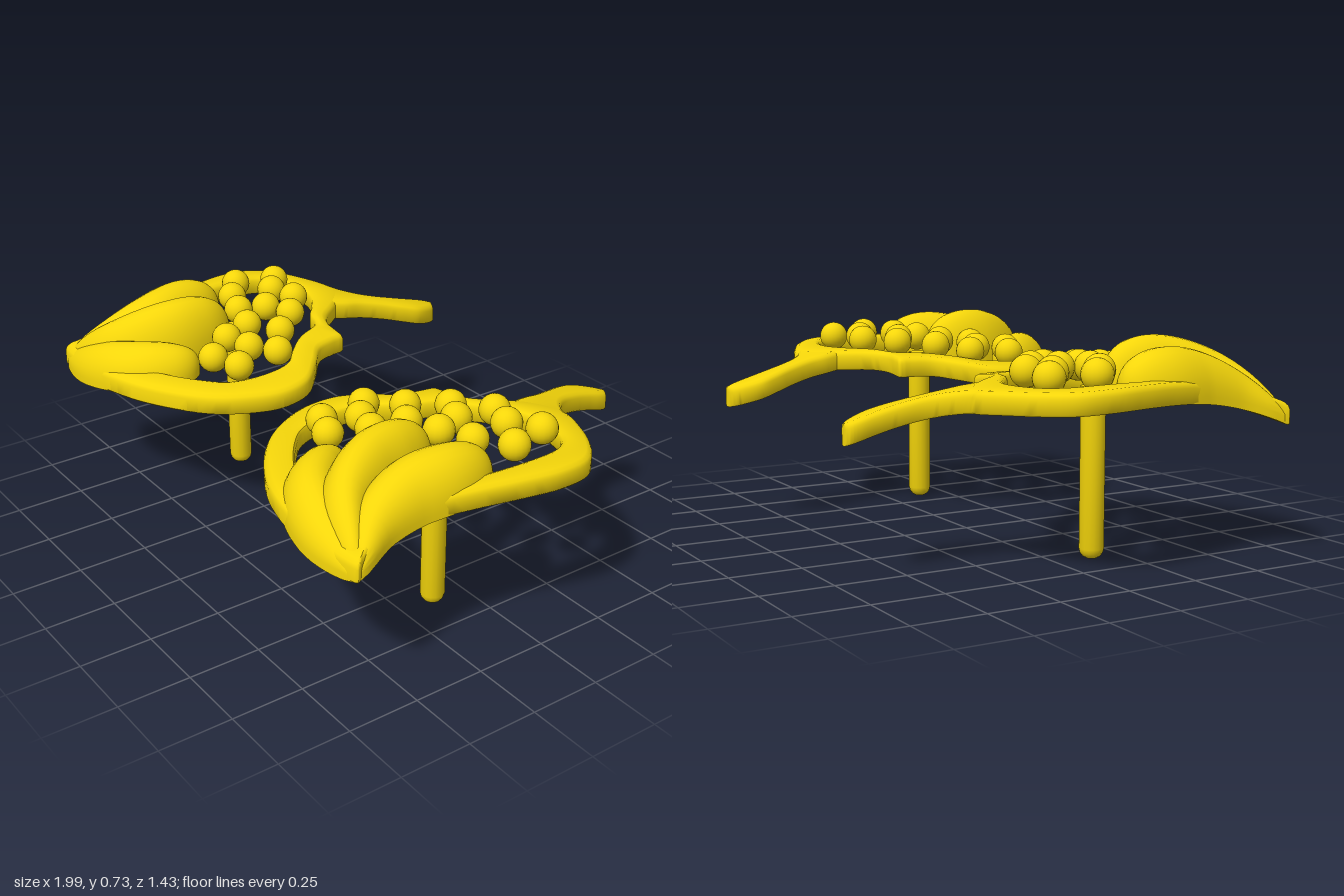
import * as THREE from 'three';
import { toCreasedNormals } from 'three/addons/utils/BufferGeometryUtils.js';

const material = new THREE.MeshStandardMaterial({ color: 0xf5d60a });
const HALF = 0.035;

// Gentle dome that every part follows, dipping at the front corner: height of the mid-surface at (x, z)
function dome(x, z) {
  const dip = 0.8 * Math.max(0, z - 0.35) ** 2 * Math.max(0, x - 0.5);
  return 0.595 - (z > 0 ? 0.15 : 0.23) * z * z - 0.128 * (x - 0.75) ** 2 - dip;
}

function add(group, geometry, name) {
  const mesh = new THREE.Mesh(geometry, material);
  mesh.name = name;
  group.add(mesh);
  return mesh;
}

const spline = (list, closed = false) =>
  new THREE.CatmullRomCurve3(list.map(([x, z]) => new THREE.Vector3(x, 0, z)), closed);

// Skin over closed cross-sections; each section point is [x, z, height above the dome]
function loft(sections, crease) {
  const ring = sections[0].length;
  const positions = sections.flat().flatMap(([x, z, lift]) => [x, dome(x, z) + lift, z]);
  const indices = [];
  for (let i = 0; i < sections.length - 1; i++) {
    for (let j = 0; j < ring; j++) {
      const k = (j + 1) % ring;
      const a = i * ring + j, b = a + ring, e = i * ring + k, f = e + ring;
      indices.push(a, b, e, b, f, e);
    }
  }
  const geometry = new THREE.BufferGeometry();
  geometry.setAttribute('position', new THREE.Float32BufferAttribute(positions, 3));
  geometry.setIndex(indices);
  return toCreasedNormals(geometry, crease);
}

// Flat strip with softened edges between an outer and an inner outline
function bandGeometry(pairs, closed) {
  const outer = spline(pairs.map((p) => [p[0], p[1]]), closed);
  const inner = spline(pairs.map((p) => [p[2], p[3]]), closed);
  const rows = pairs.length * 5, sections = [];
  for (let i = 0; i <= rows; i++) {
    const a = inner.getPoint(i / rows), b = outer.getPoint(i / rows);
    const width = a.distanceTo(b);
    const bevel = width > 0 ? Math.min(0.02, width / 3) / width : 0;
    const edge = bevel * 0.3;
    const profile = [[edge, -HALF], [0, 0.007 - HALF], [0, HALF - 0.018], [edge, HALF - 0.006], [bevel, HALF],
      [1 - bevel, HALF], [1 - edge, HALF - 0.006], [1, HALF - 0.018], [1, 0.007 - HALF], [1 - edge, -HALF]];
    sections.push(profile.map(([s, lift]) => [a.x + (b.x - a.x) * s, a.z + (b.z - a.z) * s, lift]));
  }
  return loft(sections, 0.8);
}

// Teardrop petal: domed cross-sections along a curve, flat underneath
function petalGeometry(path, width, height) {
  const curve = spline(path);
  const rows = 30, arc = 14, sections = [];
  const bump = (t, a, b) => {
    const top = a / (a + b);
    return (t / top) ** a * ((1 - t) / (1 - top)) ** b;
  };
  for (let i = 0; i <= rows; i++) {
    const t = (i / rows) ** 1.6;
    const c = curve.getPointAt(t), d = curve.getTangentAt(t);
    const w = width * bump(t, 0.45, 0.75), h = height * bump(t, 0.4, 0.75);
    const at = (side, lift) => [c.x - d.z * side * w, c.z + d.x * side * w, lift];
    const section = [];
    for (let j = 0; j <= arc; j++) {
      const a = (j / arc) * Math.PI;
      section.push(at(Math.cos(a), -0.01 + Math.sin(a) * h));
    }
    section.push(at(-1, -HALF), at(1, -HALF));
    sections.push(section);
  }
  return loft(sections, 0.8);
}

// Outline pairs: outer x, z, inner x, z
const RING = [
  [0.935, 0.672, 0.86, 0.60], [0.90, 0.685, 0.83, 0.605], [0.72, 0.70, 0.72, 0.605], [0.51, 0.68, 0.54, 0.59],
  [0.35, 0.615, 0.40, 0.53], [0.19, 0.50, 0.28, 0.445], [0.11, 0.39, 0.225, 0.385], [0.065, 0.27, 0.195, 0.27],
  [0.08, 0.16, 0.21, 0.16], [0.16, 0.07, 0.27, 0.10], [0.235, 0, 0.325, 0.04], [0.26, -0.08, 0.35, 0],
  [0.27, -0.125, 0.37, -0.045], [0.30, -0.127, 0.39, -0.08], [0.36, -0.13, 0.42, -0.10], [0.43, -0.165, 0.47, -0.115],
  [0.495, -0.24, 0.53, -0.16], [0.56, -0.31, 0.59, -0.20], [0.66, -0.36, 0.67, -0.225], [0.80, -0.315, 0.77, -0.215],
  [0.91, -0.25, 0.83, -0.19], [0.98, -0.17, 0.87, -0.14], [0.997, -0.05, 0.885, -0.06], [0.975, 0.08, 0.88, 0.08],
  [0.93, 0.24, 0.85, 0.25], [0.885, 0.40, 0.81, 0.40], [0.885, 0.53, 0.81, 0.51], [0.922, 0.645, 0.85, 0.585],
];
const STEM = [
  [0.52, -0.25, 0.74, -0.33], [0.503, -0.31, 0.645, -0.37], [0.495, -0.37, 0.59, -0.42], [0.467, -0.46, 0.56, -0.47],
  [0.435, -0.54, 0.54, -0.55], [0.42, -0.60, 0.533, -0.61], [0.435, -0.66, 0.53, -0.67],
  [0.455, -0.695, 0.523, -0.697], [0.475, -0.708, 0.51, -0.709], [0.495, -0.712, 0.495, -0.712],
];

function createEarring(name) {
  const earring = new THREE.Group();
  earring.name = name;
  add(earring, bandGeometry(RING, true), 'frame');
  add(earring, bandGeometry(STEM, false), 'stem');

  // Three curved petals meeting at the front corner
  const petals = [
    ['outerPetal', [[0.81, 0.09], [0.805, 0.25], [0.79, 0.40], [0.825, 0.54], [0.93, 0.67]], 0.108, 0.145],
    ['middlePetal', [[0.605, 0.165], [0.605, 0.30], [0.625, 0.42], [0.71, 0.56], [0.925, 0.67]], 0.1, 0.175],
    ['innerPetal', [[0.44, 0.385], [0.47, 0.48], [0.55, 0.575], [0.70, 0.64], [0.92, 0.675]], 0.09, 0.11],
  ];
  for (const [label, path, w, h] of petals) add(earring, petalGeometry(path, w, h), label);

  // Beads scattered in the opening
  const bead = new THREE.SphereGeometry(0.053, 20, 14);
  const spots = [[0.78, -0.155], [0.59, -0.12], [0.69, -0.085], [0.475, -0.03], [0.82, -0.005],
    [0.565, 0.02], [0.375, 0.08], [0.715, 0.075], [0.60, 0.118], [0.48, 0.155], [0.26, 0.165],
    [0.34, 0.235], [0.44, 0.267], [0.255, 0.33], [0.355, 0.375]];
  const beads = new THREE.Group();
  beads.name = 'beads';
  spots.forEach(([x, z]) => add(beads, bead, 'bead').position.set(x, dome(x, z) + 0.052, z));
  earring.add(beads);

  // Round-ended post
  const profile = [[0, 0.005], [0.016, 0.008], [0.03, 0.016], [0.038, 0.027], [0.042, 0.042],
    [0.042, 0.58], [0, 0.58]].map(([r, y]) => new THREE.Vector2(r, y));
  const post = toCreasedNormals(new THREE.LatheGeometry(profile, 16), 0.9);
  add(earring, post, 'post').position.set(0.603, 0, 0.13);
  return earring;
}

export function createModel() {
  const model = new THREE.Group();
  model.name = 'earrings';
  const right = createEarring('rightEarring');
  right.scale.x = -1;
  model.add(createEarring('leftEarring'), right);
  return model;
}
